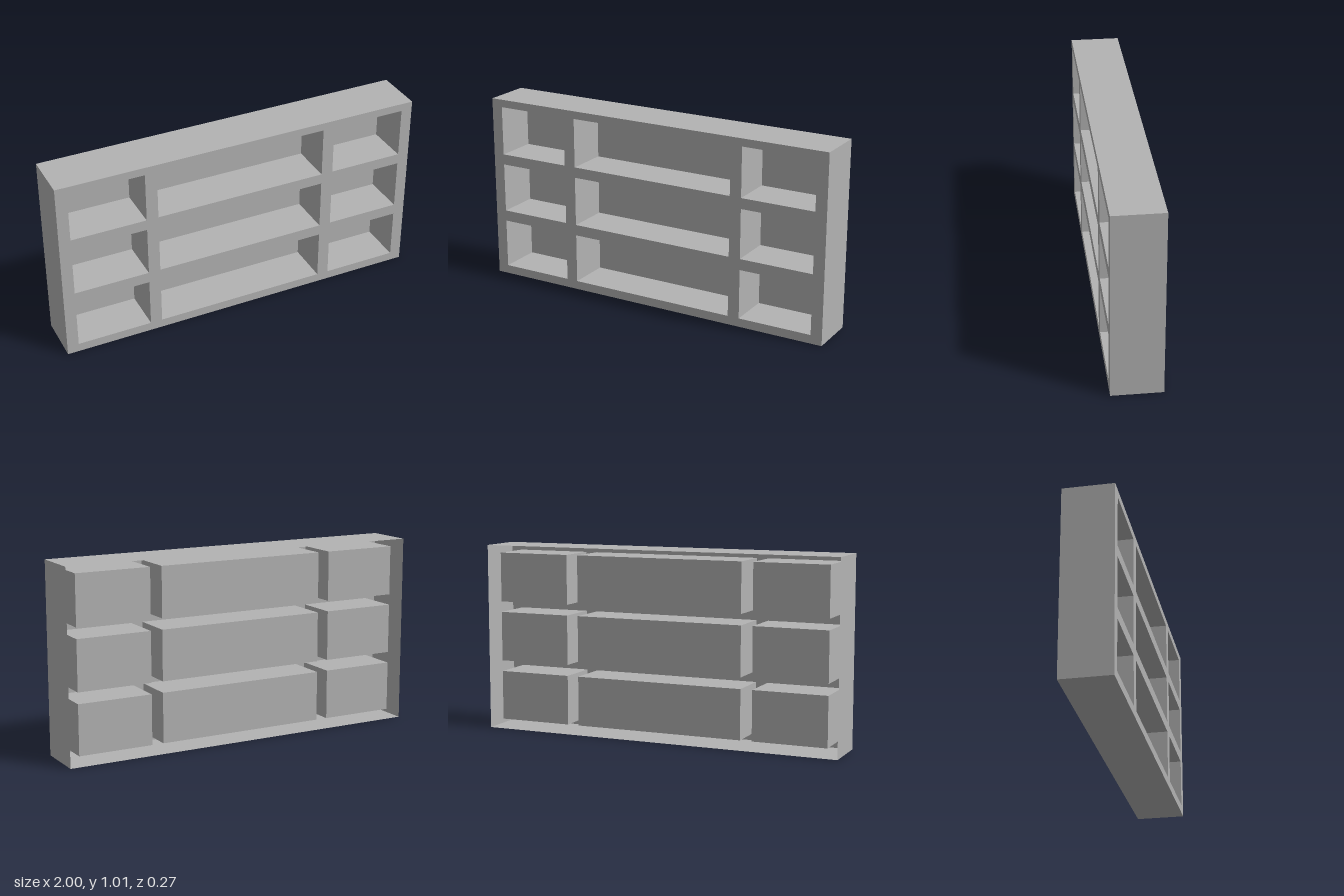
import * as THREE from 'three';

const HEIGHT = 1.015, FRONT = 0.133, BACK = -0.133, CELL_BACK = -0.1;
const COLUMNS = [[-0.938, -0.532], [-0.468, 0.468], [0.532, 0.938]];
const ROWS = [[0.047, 0.316], [0.376, 0.646], [0.704, 0.973]];

// Thin box between two corners, leaving out the listed faces (0-5: +x -x +y -y +z -z)
function openBox(x0, x1, y0, y1, z0, z1, omit) {
  const geometry = new THREE.BoxGeometry(x1 - x0, y1 - y0, z1 - z0);
  const index = Array.from(geometry.index.array);
  geometry.setIndex(index.filter((_, i) => !omit.includes(Math.floor(i / 6))));
  geometry.clearGroups();
  geometry.translate((x0 + x1) / 2, (y0 + y1) / 2, (z0 + z1) / 2);
  return geometry;
}

// Rectangle outline, for the front plate and its openings
function rectangle(Type, x0, x1, y0, y1) {
  const path = new Type();
  path.moveTo(x0, y0).lineTo(x1, y0).lineTo(x1, y1).lineTo(x0, y1).closePath();
  return path;
}

export function createModel() {
  const group = new THREE.Group();
  group.name = 'shelfUnit';
  const grey = new THREE.MeshStandardMaterial({ color: 0xb3b3b3, side: THREE.DoubleSide });
  grey.name = 'grey';

  const add = (name, geometry) => {
    const mesh = new THREE.Mesh(geometry, grey);
    mesh.name = name;
    group.add(mesh);
  };

  // Outer casing, open at the front and back
  add('casing', openBox(-1, 1, 0, HEIGHT, BACK, FRONT, [4, 5]));

  // Front plate with nine openings, each leading into a compartment
  const plate = rectangle(THREE.Shape, -1, 1, 0, HEIGHT);
  ROWS.forEach(([y0, y1], row) => {
    COLUMNS.forEach(([x0, x1], column) => {
      plate.holes.push(rectangle(THREE.Path, x0, x1, y0, y1));
      add(`compartment${row + 1}_${column + 1}`, openBox(x0, x1, y0, y1, CELL_BACK, FRONT, [4]));
    });
  });
  add('frontPlate', new THREE.ShapeGeometry(plate).translate(0, 0, FRONT));

  return group;
}
